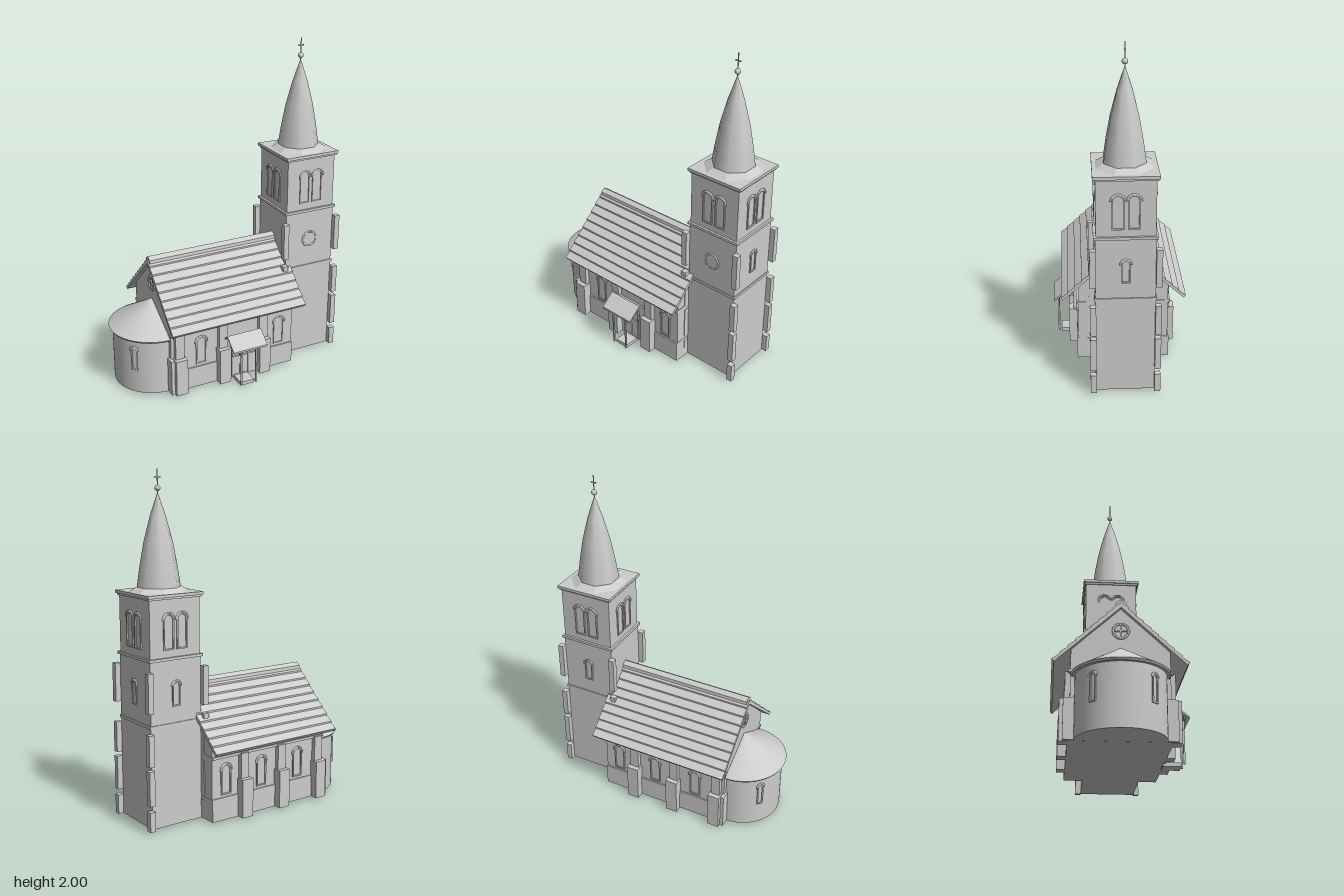
import * as THREE from 'three';

const CZ = -0.025;           // centre line of the nave
const TX = 0.527, TZ = -0.02; // centre of the tower

export function createModel() {
  const root = new THREE.Group();
  root.name = 'church';
  const stone = new THREE.MeshStandardMaterial({ color: 0xcccccc });
  stone.name = 'pale grey stone';

  const add = (name, geo, x = 0, y = 0, z = 0, ry = 0) => {
    const m = new THREE.Mesh(geo, stone);
    m.name = name;
    m.position.set(x, y, z);
    m.rotation.y = ry;
    root.add(m);
    return m;
  };
  // Box given by its limits
  const box = (name, x0, x1, y0, y1, z0, z1) =>
    add(name, new THREE.BoxGeometry(x1 - x0, y1 - y0, z1 - z0), (x0 + x1) / 2, (y0 + y1) / 2, (z0 + z1) / 2);
  // Profile in (z, y) stretched along x
  const prism = (name, pts, x0, x1) => {
    const s = new THREE.Shape(pts.map(p => new THREE.Vector2(p[0], p[1])));
    const g = new THREE.ExtrudeGeometry(s, { depth: x1 - x0, bevelEnabled: false });
    g.rotateY(-Math.PI / 2);
    return add(name, g, x1, 0, 0);
  };
  // Arched outline, standing on y = 0
  const arch = (P, w, h, y0) => {
    const p = new P(), r = w / 2;
    p.moveTo(-r, y0);
    p.lineTo(r, y0);
    p.lineTo(r, h - r);
    p.absarc(0, h - r, r, 0, Math.PI, false);
    p.closePath();
    return p;
  };
  // Raised window surround with a hood and a sill
  const archedWindow = (name, w, h, x, y, z, ry) => {
    const s = arch(THREE.Shape, w, h, 0);
    s.holes.push(arch(THREE.Path, w - 0.016, h - 0.008, 0.008));
    add(name + 'Frame', new THREE.ExtrudeGeometry(s, { depth: 0.007, bevelEnabled: false, curveSegments: 10 }), x, y, z, ry);
    const hood = new THREE.TorusGeometry(w / 2 + 0.004, 0.006, 6, 12, Math.PI);
    hood.translate(0, h - w / 2, 0.005);
    add(name + 'Hood', hood, x, y, z, ry);
  };

  // Nave
  const W = 0.265;
  prism('naveWalls', [[CZ - W, 0.015], [CZ + W, 0.015], [CZ + W, 0.51], [CZ, 0.76], [CZ - W, 0.51]], -0.46, 0.36);
  box('plinth', -0.462, 0.362, 0.015, 0.15, CZ - W - 0.008, CZ + W + 0.008);
  box('eavesBand', -0.463, 0.363, 0.385, 0.4, CZ - W - 0.012, CZ + W + 0.012);

  // Roof slopes with overlapping courses
  for (const s of [-1, 1]) {
    const top = [], n = 9, dz = 0.365, drop = 0.345;
    for (let i = 0; i < n; i++) {
      const a = i / n, b = (i + 1) / n;
      top.push([CZ + s * dz * a, 0.788 - drop * a - 0.004]);
      top.push([CZ + s * dz * b, 0.788 - drop * b + 0.006]);
    }
    const under = [[CZ + s * (dz - 0.012), 0.432], [CZ, 0.755]];
    const pts = [...top, ...under];
    prism(s > 0 ? 'frontRoofSlope' : 'backRoofSlope', pts, -0.487, 0.397);
  }
  prism('ridgeCap', [[CZ - 0.03, 0.765], [CZ + 0.03, 0.765], [CZ + 0.028, 0.785], [CZ, 0.803], [CZ - 0.028, 0.785]], -0.48, 0.38);

  // Stepped buttresses on both long sides
  for (const s of [-1, 1]) {
    for (const x of [-0.413, -0.127, 0.145]) {
      for (const [nm, hw, y0, y1, d] of [['buttressBase', 0.037, 0.015, 0.245, 0.055], ['buttressTop', 0.028, 0.24, 0.395, 0.027]]) {
        add(nm, new THREE.BoxGeometry(hw * 2, y1 - y0, d), x, (y0 + y1) / 2, CZ + s * (W + d / 2));
      }
    }
  }
  // Corner buttresses at the apse end
  for (const s of [-1, 1]) {
    add('cornerButtress', new THREE.BoxGeometry(0.02, 0.225, 0.06), -0.463, 0.13, CZ + s * (W + 0.005));
  }

  // Nave windows
  for (const x of [-0.265, 0.265]) archedWindow('frontWindow', 0.07, 0.18, x, 0.165, CZ + W, 0);
  for (const x of [-0.265, 0.01, 0.265]) archedWindow('backWindow', 0.07, 0.18, x, 0.165, CZ - W, Math.PI);
  // Round gable window with crossed bars
  add('gableRoundWindow', new THREE.TorusGeometry(0.042, 0.007, 6, 24), -0.462, 0.625, CZ, -Math.PI / 2);
  box('gableWindowBar', -0.468, -0.46, 0.585, 0.665, CZ - 0.004, CZ + 0.004);
  box('gableWindowBar', -0.468, -0.46, 0.621, 0.629, CZ - 0.04, CZ + 0.04);

  // Rounded apse with half-cone roof
  const AX = -0.463, AR = 0.242;
  add('apseWall', new THREE.CylinderGeometry(AR, AR, 0.355, 32, 1, false, Math.PI, Math.PI), AX, 0.1925, CZ);
  add('apseEave', new THREE.CylinderGeometry(0.265, 0.258, 0.012, 32, 1, false, Math.PI, Math.PI), AX, 0.366, CZ);
  add('apseRoof', new THREE.ConeGeometry(0.265, 0.155, 32, 1, true, Math.PI, Math.PI), AX, 0.4495, CZ);
  for (const a of [-40, 40]) {
    const t = THREE.MathUtils.degToRad(a);
    archedWindow('apseWindow', 0.04, 0.155, AX - Math.cos(t) * (AR - 0.001), 0.16, CZ + Math.sin(t) * (AR - 0.001), -Math.PI / 2 + t);
  }

  // Porch
  const FZ = CZ + W;
  prism('porchRoof', [[0.387, 0.258], [0.387, 0.27], [0.30, 0.338], [0.24, 0.29], [0.24, 0.278], [0.30, 0.325]], -0.12, 0.107);
  for (const x of [-0.055, 0.045]) {
    box('porchPost', x - 0.005, x + 0.005, 0.015, 0.28, 0.355, 0.365);
    box('porchBeam', x - 0.005, x + 0.005, 0.262, 0.274, FZ, 0.365);
  }
  box('porchLintel', -0.105, 0.095, 0.262, 0.274, 0.354, 0.366);
  box('porchStep', -0.05, 0.04, 0.002, 0.024, FZ, 0.345);
  archedWindow('door', 0.12, 0.25, -0.005, 0.018, FZ + 0.008, 0);
  box('doorLeafSeam', -0.007, -0.003, 0.02, 0.25, FZ, FZ + 0.012);

  // Tower shaft, bands and cornice
  const T = 0.165;
  const square = (name, half, y0, y1) => box(name, TX - half, TX + half, y0, y1, TZ - half, TZ + half);
  square('towerShaft', T, 0.015, 0.975);
  square('lowerBand', 0.171, 0.595, 0.612);
  square('upperBand', 0.175, 0.968, 0.984);
  square('belfry', 0.162, 0.98, 1.315);
  square('corniceBase', 0.17, 1.305, 1.318);
  square('cornice', 0.178, 1.316, 1.333);
  const skirt = new THREE.CylinderGeometry(0.13, 0.17, 0.024, 8).toNonIndexed();
  skirt.computeVertexNormals();
  add('spireSkirt', skirt, TX, 1.344, TZ, Math.PI / 8);

  // Corner pillars in segments
  for (const sx of [-1, 1]) {
    for (const sz of [-1, 1]) {
      for (const [y0, y1] of [[0.015, 0.13], [0.165, 0.365], [0.39, 0.57], [0.61, 0.64], [0.69, 0.915]]) {
        if (y0 === 0.61 && sx > 0) continue;
        add('cornerPillar', new THREE.BoxGeometry(0.034, y1 - y0, 0.034), TX + sx * 0.18, (y0 + y1) / 2, TZ + sz * 0.18);
      }
    }
  }

  // Paired belfry openings on each side
  for (let i = 0; i < 4; i++) {
    const a = i * Math.PI / 2, c = Math.cos(a), s = Math.sin(a);
    for (const o of [-0.043, 0.043]) {
      archedWindow('belfryOpening', 0.068, 0.2, TX + o * c + 0.162 * s, 1.025, TZ - o * s + 0.162 * c, a);
    }
  }
  // Clock on the front, small windows on the other free sides
  add('clockRim', new THREE.TorusGeometry(0.046, 0.006, 8, 28), TX, 0.785, TZ + T);
  const face = new THREE.CylinderGeometry(0.044, 0.044, 0.006, 28);
  face.rotateX(Math.PI / 2);
  add('clockFace', face, TX, 0.785, TZ + T);
  archedWindow('towerWindow', 0.052, 0.14, TX + T, 0.705, TZ, Math.PI / 2);
  archedWindow('towerWindow', 0.052, 0.14, TX, 0.705, TZ - T, Math.PI);

  // Spire, ball and cross
  const profile = [[0.124, 1.353], [0.107, 1.47], [0.083, 1.6], [0.045, 1.745], [0.004, 1.866]];
  add('spire', new THREE.LatheGeometry(profile.map(p => new THREE.Vector2(p[0], p[1])), 8), TX, 0, TZ, Math.PI / 8);
  add('finialRod', new THREE.CylinderGeometry(0.003, 0.003, 0.145, 8), TX, 1.9275, TZ);
  add('finialBall', new THREE.SphereGeometry(0.017, 16, 12), TX, 1.897, TZ);
  add('crossBar', new THREE.BoxGeometry(0.036, 0.006, 0.006), TX, 1.957, TZ);

  return root;
}
